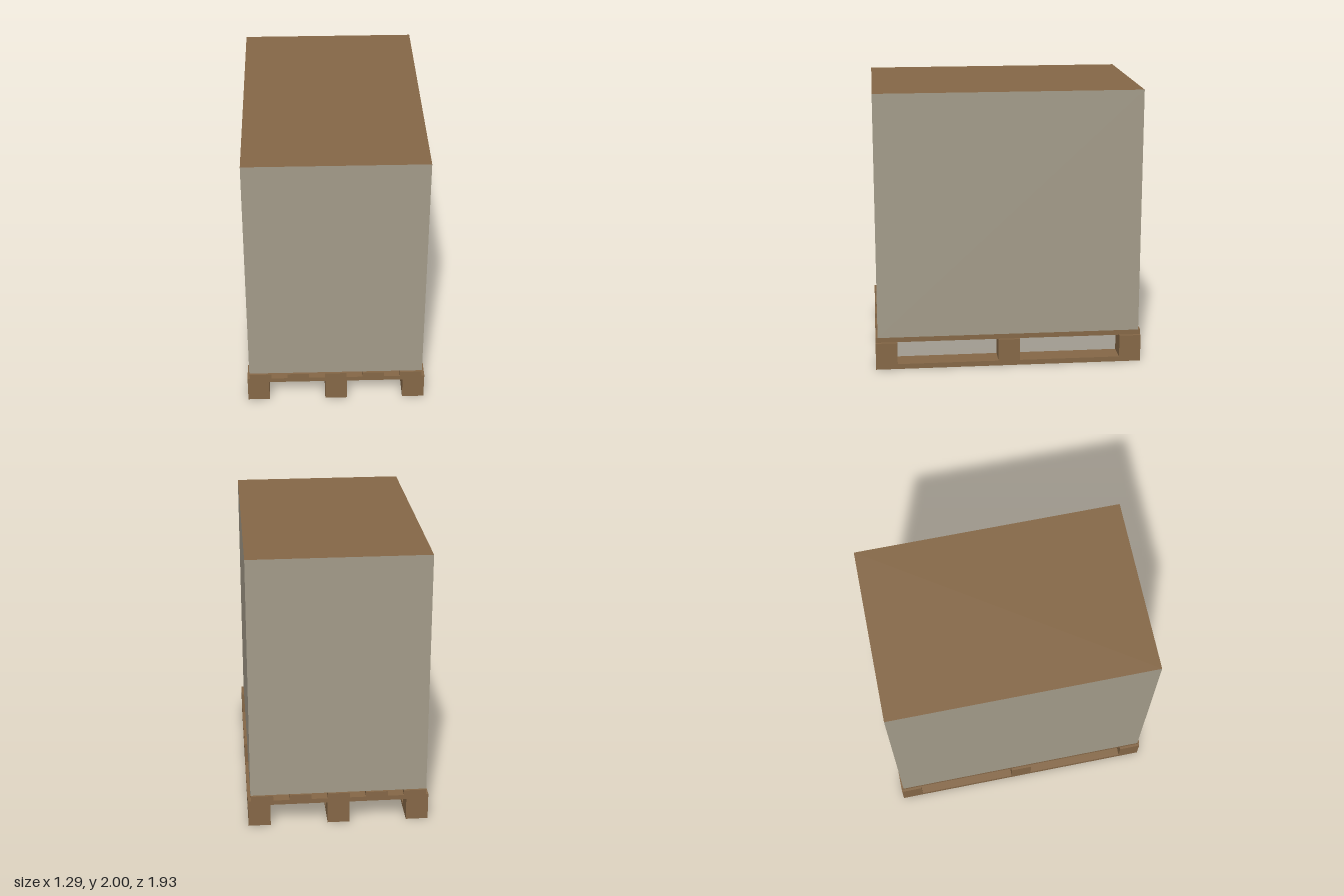
import * as THREE from 'three';

export function createModel() {
  const model = new THREE.Group();
  const wood = new THREE.MeshStandardMaterial({ color: 0x866847 });
  wood.name = 'brown wood';
  const card = new THREE.MeshStandardMaterial({ color: 0xa49c8a });
  card.name = 'grey beige wrap';

  // Box given by its centre in x and z, its bottom and top in y
  const box = (name, x, z, y0, y1, w, d, material, parent) => {
    const mesh = new THREE.Mesh(new THREE.BoxGeometry(w, y1 - y0, d), material);
    mesh.position.set(x, (y0 + y1) / 2, z);
    mesh.name = name;
    parent.add(mesh);
  };

  const pallet = new THREE.Group();
  pallet.name = 'pallet';
  model.add(pallet);

  const rowsX = [-0.565, 0, 0.565];
  const rowsZ = [-0.885, 0, 0.885];

  // Bottom runners with the spacer blocks on them
  for (const x of rowsX) {
    box('bottomRunner', x, 0, 0, 0.037, 0.158, 1.926, wood, pallet);
    for (const z of rowsZ) box('spacerBlock', x, z, 0.037, 0.163, 0.158, 0.156, wood, pallet);
  }

  // Cross boards over the blocks
  for (const z of rowsZ) box('crossBoard', 0, z, 0.163, 0.197, 1.288, 0.156, wood, pallet);

  // Deck boards running front to back
  for (let i = -2; i <= 2; i++) {
    box('deckBoard', i * 0.273 - 0.002, 0, 0.197, 0.234, 0.158, 1.926, wood, pallet);
  }

  // Load: wrapped sides and underside, brown top face
  const faces = [card, card, wood, card, card, card];
  box('cargoBox', -0.002, 0, 0.234, 2, 1.256, 1.894, faces, model);

  return model;
}
